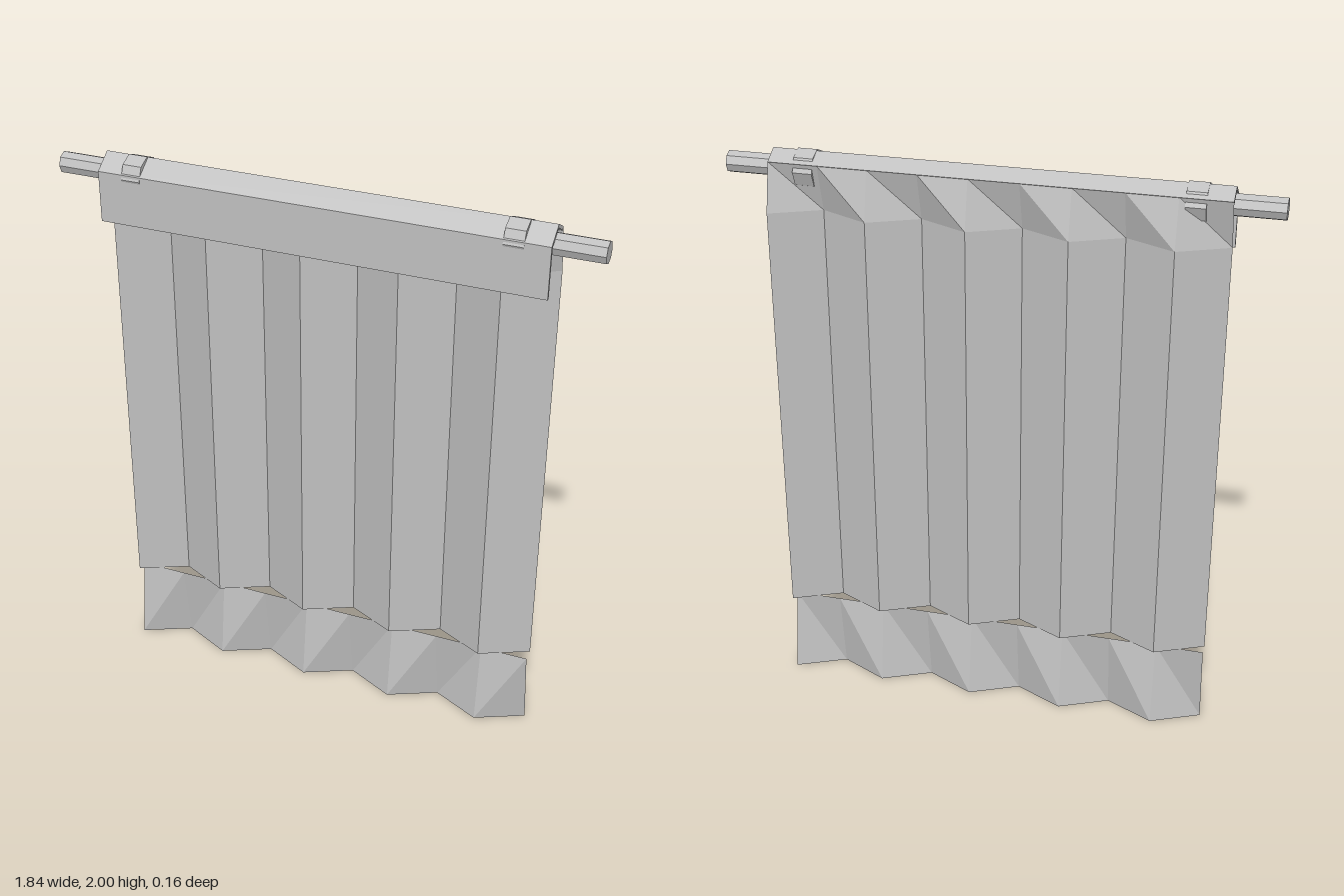
import * as THREE from 'three';

const ROD_Y = 1.935, ROD_Z = 0.018, HALF = 0.76, FOLDS = 9;

// Pleat line: fold positions alternating between front and back
const pleat = [];
for (let i = 0; i <= FOLDS; i++) {
  pleat.push({ x: -HALF + (2 * HALF * i) / FOLDS, z: i % 2 ? -0.082 : 0 });
}

// Folded sheet between two heights; a given z flattens that edge to a straight line
function pleatedSheet(y0, y1, flatZ) {
  const pos = [];
  for (let i = 0; i < FOLDS; i++) {
    const a = pleat[i], b = pleat[i + 1];
    const a0 = [a.x, y0, a.z], b0 = [b.x, y0, b.z];
    const a1 = [a.x, y1, flatZ ?? a.z], b1 = [b.x, y1, flatZ ?? b.z];
    pos.push(...a0, ...b0, ...b1, ...a0, ...b1, ...a1);
  }
  const g = new THREE.BufferGeometry();
  g.setAttribute('position', new THREE.Float32BufferAttribute(pos, 3));
  g.computeVertexNormals();
  return g;
}

// Extrude a side outline of [z, y] points along x, centred on x = 0
function sideExtrude(points, width, hole) {
  const shape = new THREE.Shape(points.map(([z, y]) => new THREE.Vector2(-z, y)));
  if (hole) shape.holes.push(new THREE.Path(hole.map(([z, y]) => new THREE.Vector2(-z, y))));
  const g = new THREE.ExtrudeGeometry(shape, { depth: width, bevelEnabled: false });
  g.translate(0, 0, -width / 2);
  g.rotateY(Math.PI / 2);
  return g;
}

function octagon(r) {
  return Array.from({ length: 8 }, (_, i) => {
    const t = (i * Math.PI) / 4;
    return [ROD_Z + r * Math.cos(t), ROD_Y + r * Math.sin(t)];
  });
}

export function createModel() {
  const model = new THREE.Group();
  const grey = new THREE.MeshStandardMaterial({ color: 0xc0c0c0, flatShading: true, side: THREE.DoubleSide });
  grey.name = 'plain grey';
  const add = (name, geometry) => {
    const mesh = new THREE.Mesh(geometry, grey);
    mesh.name = name;
    model.add(mesh);
    return mesh;
  };

  // Rod
  const rod = add('rod', new THREE.CylinderGeometry(0.037, 0.037, 1.84, 8));
  rod.rotation.z = Math.PI / 2;
  rod.position.set(0, ROD_Y, ROD_Z);

  // Rings around the rod
  for (const side of [-1, 1]) {
    const ring = add(side > 0 ? 'leftRing' : 'rightRing', sideExtrude(octagon(0.065), 0.066, octagon(0.042)));
    ring.position.x = side * 0.643;
  }

  // Flap folded over the rod and hanging in front
  add('valance', sideExtrude([
    [0.08, 1.775], [0.08, 1.95], [0.012, 1.997], [-0.047, 1.965],
    [-0.038, 1.955], [0.012, 1.985], [0.069, 1.945], [0.069, 1.775],
  ], 2 * HALF));

  // Pleated cloth: gathered heading, long panel, flared hem
  const heading = pleatedSheet(1.8, 1.965, -0.045);
  add('heading', heading);
  add('curtainPanel', pleatedSheet(0.3, 1.8));
  add('hem', pleatedSheet(0, 0.3, -0.038));

  return model;
}
